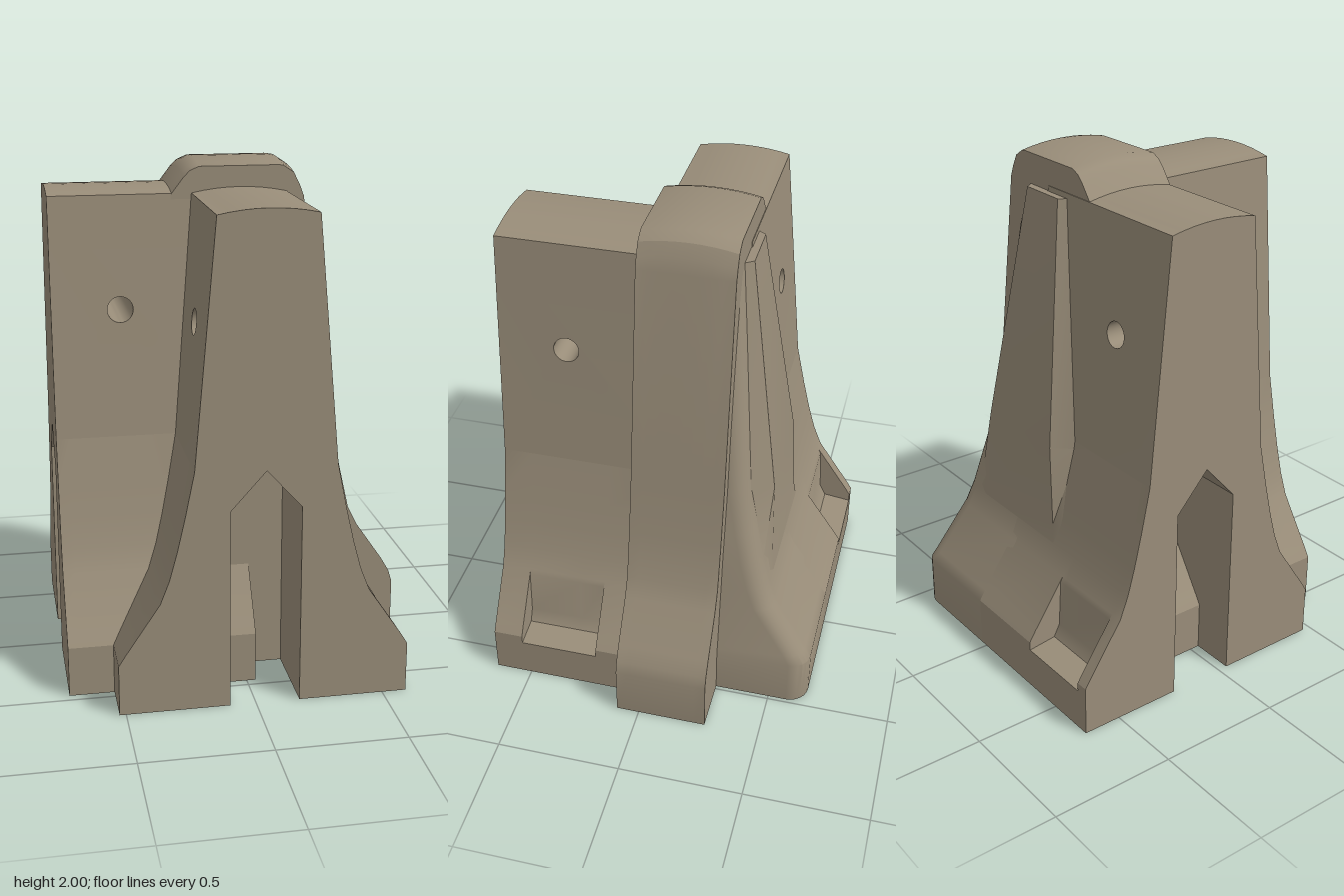
import * as THREE from 'three';
import { mergeGeometries, toCreasedNormals } from 'three/addons/utils/BufferGeometryUtils.js';

// Centre of the junction, where both arms meet
const CX = 0.035, CZ = -0.095;

// Half width of an arm against height, from the ground to the shoulder
const SIDE = [[0.56, 0], [0.56, 0.2], [0.535, 0.24], [0.4, 0.44], [0.365, 0.53],
  [0.335, 0.64], [0.305, 0.77], [0.268, 0.95]];
const POCKET = [[0.56, 0], [0.56, 0.165], [0.445, 0.18], [0.42, 0.23], [0.41, 0.42],
  ...SIDE.slice(3)];
const SHOULDER = 0.95, TOP = 1.88, TOP_HALF = 0.185;

function halfWidth(y) {
  const pts = [...SIDE, [TOP_HALF, TOP]];
  for (let i = 1; i < pts.length; i++) {
    const [w0, y0] = pts[i - 1], [w1, y1] = pts[i];
    if (y <= y1) return w0 + (w1 - w0) * (y - y0) / (y1 - y0);
  }
  return TOP_HALF;
}

const shapeOf = pts => new THREE.Shape(pts.map(p => new THREE.Vector2(p[0], p[1])));

function extrude(shape, from, to, steps = 1) {
  const g = new THREE.ExtrudeGeometry(shape, { depth: to - from, steps, bevelEnabled: false, curveSegments: 16 });
  return g.translate(0, 0, from);
}

// Flared lower section, with optional end notch and lifting pocket
function lowerShape(notch, pocketSide) {
  const right = pocketSide > 0 ? POCKET : SIDE;
  const left = pocketSide < 0 ? POCKET : SIDE;
  const pts = [...right, ...left.map(([x, y]) => [-x, y]).reverse()];
  if (notch) pts.push([-0.135, 0], [-0.135, 0.79], [0, 0.94], [0.135, 0.79], [0.135, 0]);
  return shapeOf(pts);
}

// Tapered upper section, pierced by a round hole
function upperBlock(length, holeAt) {
  const shape = shapeOf([[0, SHOULDER], [length, SHOULDER], [length, TOP], [0, TOP]]);
  const hole = new THREE.Path();
  hole.absarc(holeAt, 1.445, 0.05, 0, Math.PI * 2, true);
  shape.holes.push(hole);
  const g = extrude(shape, 0, 1);
  const p = g.attributes.position;
  for (let i = 0; i < p.count; i++) {
    const u = p.getX(i), y = p.getY(i), d = p.getZ(i);
    p.setXYZ(i, (1 - 2 * d) * halfWidth(y), y, u);
  }
  return g;
}

// One barrier arm running along its local +z
function arm(length, pocketFrom, pocketSide, holeAt) {
  const pocketTo = pocketFrom + 0.32, notchFrom = length - 0.34;
  const cuts = [0, pocketFrom, pocketTo, notchFrom, length].sort((a, b) => a - b);
  const parts = [];
  for (let i = 1; i < cuts.length; i++) {
    const mid = (cuts[i - 1] + cuts[i]) / 2;
    const side = mid > pocketFrom && mid < pocketTo ? pocketSide : 0;
    parts.push(extrude(lowerShape(mid > notchFrom, side), cuts[i - 1], cuts[i]));
  }
  parts.push(upperBlock(length, holeAt));
  // Gently arched top
  const arch = [];
  for (let i = 0; i <= 8; i++) {
    const t = 1 - i / 4;
    arch.push([t * TOP_HALF, TOP + 0.02 * (1 - t * t)]);
  }
  parts.push(extrude(shapeOf(arch), 0, length));
  return toCreasedNormals(mergeGeometries(parts), 0.5);
}

// Skin between rings of [x, z] points, counter-clockwise seen from above
function loft(levels) {
  const n = levels[0].ring.length, pos = [], idx = [];
  levels.forEach(({ y, ring }) => ring.forEach(([x, z]) => pos.push(x, y, z)));
  for (let l = 0; l < levels.length - 1; l++) {
    for (let i = 0; i < n; i++) {
      const a = l * n + i, b = l * n + (i + 1) % n;
      idx.push(a, b, b + n, a, b + n, a + n);
    }
  }
  const t = (levels.length - 1) * n;
  for (let i = 1; i < n - 1; i++) idx.push(0, i + 1, i, t, t + i, t + i + 1);
  const g = new THREE.BufferGeometry();
  g.setAttribute('position', new THREE.Float32BufferAttribute(pos, 3));
  g.setIndex(idx);
  return toCreasedNormals(g.toNonIndexed(), 0.6);
}

// Rounded back corner closing the junction
function backCorner() {
  const levels = [[0, 0.485], [0.2, 0.485], [0.24, 0.475], [0.44, 0.445], [0.53, 0.43], [0.64, 0.415],
    [0.77, 0.39], [0.95, 0.355], [TOP, 0.24]];
  return loft(levels.map(([y, xr]) => {
    const zb = CZ - halfWidth(y) + (y === TOP ? 0.004 : 0), r = 0.08;
    const ring = [[0, CZ], [xr, CZ]];
    for (let i = 0; i <= 6; i++) {
      const a = i / 6 * Math.PI / 2;
      ring.push([xr - r + r * Math.cos(a), zb + r - r * Math.sin(a)]);
    }
    ring.push([0, zb]);
    return { y, ring };
  }));
}

// Tapering rib on the back: height, face z, face half width, root half width
function backRib() {
  const rows = [[0.5, -0.465, 0.25, 0.34], [0.6, -0.452, 0.235, 0.32],
    [0.92, -0.442, 0.21, 0.28], [1.86, -0.31, 0.1, 0.13]];
  return loft(rows.map(([y, zf, wf, wr]) => {
    const zr = CZ - halfWidth(y) + 0.015, c = 0.03;
    return { y, ring: [[c - wr, zr], [c + wr, zr], [c + wf, zf], [c - wf, zf]] };
  }));
}

// Raised core that crosses the junction and flares down to the ground
function core() {
  const shape = shapeOf([[-0.2, 0], [0.7, 0], [0.7, 0.21], [0.685, 0.26], [0.65, 0.32], [0.54, 0.48],
    [0.5, 0.56], [0.455, 0.76], [0.412, 1], [0.29, 1.86], [0.275, 1.92], [0.25, 1.97], [0.21, 1.997],
    [0.19, 2], [-0.12, 2], [-0.155, 1.985], [-0.18, 1.96], [-0.23, 1.895], [-0.23, 1.8], [-0.2, 1.7]]);
  const g = extrude(shape, -0.278, 0.092, 8);
  const p = g.attributes.position;
  for (let i = 0; i < p.count; i++) {
    const t = (p.getZ(i) + 0.093) / 0.185;
    if (p.getY(i) > 1.88) p.setY(i, p.getY(i) - 0.02 * t * t);
  }
  return toCreasedNormals(g, 0.5);
}

export function createModel() {
  const model = new THREE.Group();
  model.name = 'barrierCorner';
  const concrete = new THREE.MeshStandardMaterial({ color: 0x998d79 });
  concrete.name = 'concrete';
  const add = (name, geometry) => {
    const mesh = new THREE.Mesh(geometry, concrete);
    mesh.name = name;
    model.add(mesh);
    return mesh;
  };

  add('frontArm', arm(0.745, 0.305, 1, 0.475)).position.set(CX, 0, CZ);
  const sideArm = add('sideArm', arm(0.735, 0.365, -1, 0.47));
  sideArm.position.set(CX, 0, CZ);
  sideArm.rotation.y = -Math.PI / 2;
  add('raisedCore', core());
  add('backCorner', backCorner());
  add('backRib', backRib());
  return model;
}
